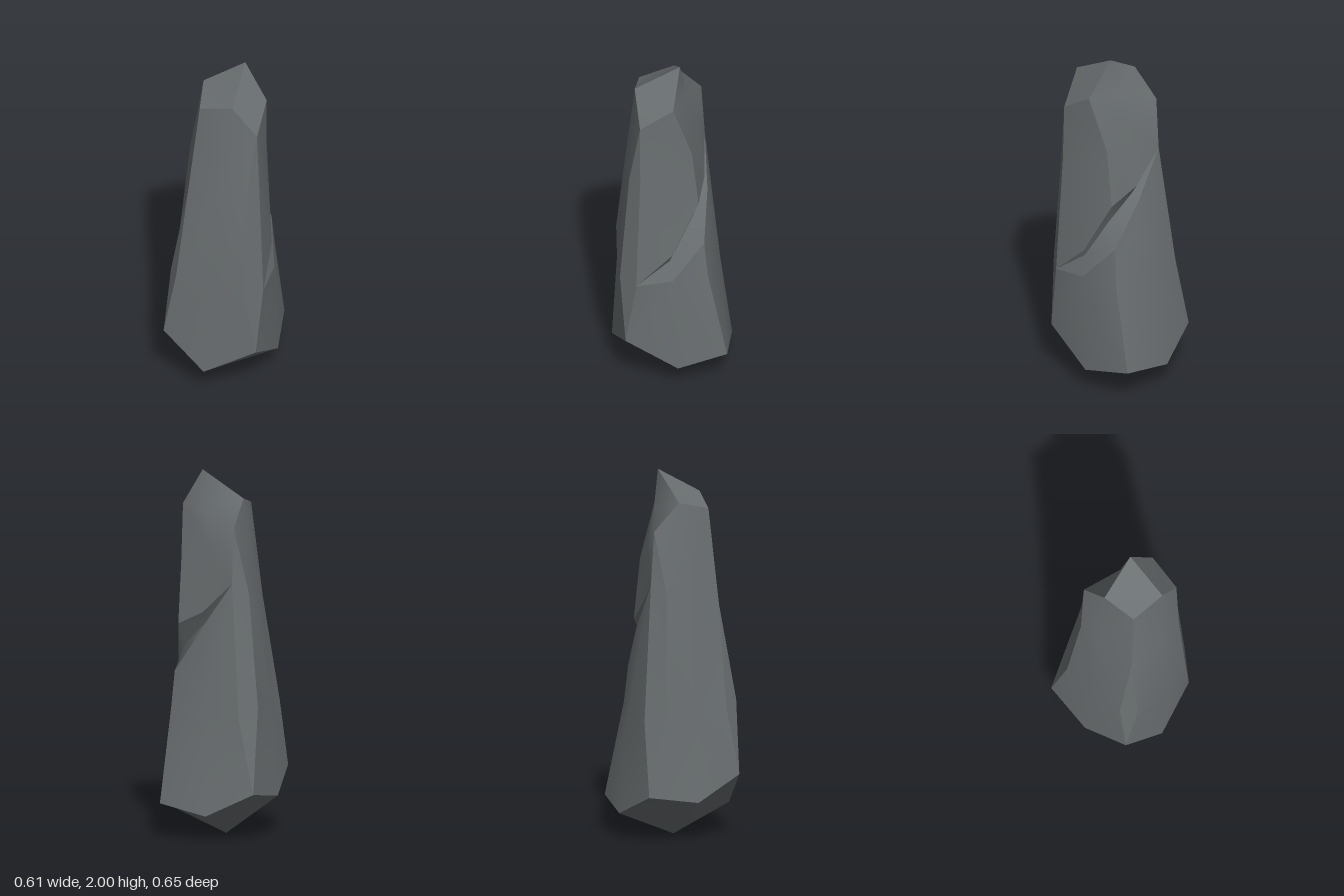
import * as THREE from 'three';

// Corner points of the stone pillar
const P = {
  // crown
  peak: [0.115, 2, -0.03], crownR: [0.245, 1.8, 0.02], crownFR: [0.23, 1.68, 0.2],
  crownF: [0.095, 1.86, 0.215], crownFL: [-0.095, 1.8, 0.17], crownL: [-0.115, 1.85, -0.02],
  crownBL: [-0.11, 1.705, -0.17], shoulder: [0.22, 1.49, -0.085],
  // front right bevel
  fr1: [0.185, 1.32, 0.255], fr2: [0.185, 0.68, 0.305], rf1: [0.242, 1.35, 0.2], rf2: [0.27, 0.67, 0.225],
  // front left bevel
  fl0: [-0.15, 1.28, 0.205], fl1: [-0.2, 0.75, 0.285], lf1: [-0.248, 0.72, 0.2],
  // back left bevel
  lb1: [-0.184, 1.345, -0.13], lb2: [-0.249, 0.73, -0.173], bl1: [-0.106, 1.405, -0.189], bl2: [-0.168, 0.67, -0.26],
  // gentle swell along the middle of each face
  f1: [0.04, 1.34, 0.265], f2: [0.06, 0.73, 0.308], l1: [-0.184, 1.42, 0], l2: [-0.25, 0.74, 0.03],
  s1: [0.247, 1.4, 0.05], b1: [0.08, 1.79, -0.073], b2: [0.06, 1.6, -0.125], b3: [0.03, 0.67, -0.258],
  // ledge: overhanging lip, groove, lower lip
  up1: [0.07, 1.236, -0.17], up2: [0.225, 1.16, -0.12], up3: [0.275, 0.86, 0.03],
  in1: [0.06, 1.18, -0.135], in2: [0.2, 1.04, -0.08], in3: [0.255, 0.815, 0.04],
  low1: [0.07, 1.145, -0.185], low2: [0.235, 0.905, -0.15], low3: [0.29, 0.7, 0.03],
  br1: [0.25, 0.7, -0.168],
  // base
  FR: [0.24, 0.29, 0.28], FL: [-0.275, 0.35, 0.265], BR: [0.28, 0.19, -0.27], BL: [-0.258, 0.265, -0.278],
  F: [-0.04, 0.15, 0.325], R: [0.303, 0.13, 0], B: [0, 0.14, -0.327], L: [-0.304, 0.22, 0], foot: [-0.01, 0, 0],
};

// Fills a face between descending chains of corners, listed left to right as seen from outside
function facet(chains) {
  const names = [...new Set(chains.flat())];
  const index = [];
  const add = (...tri) => {
    if (new Set(tri).size === 3) index.push(...tri.map((n) => names.indexOf(n)));
  };
  for (let c = 0; c < chains.length - 1; c++) {
    const left = chains[c], right = chains[c + 1];
    let i = 0, j = 0;
    while (i < left.length - 1 || j < right.length - 1) {
      const a = left[i + 1], b = right[j + 1];
      if (b === undefined || (a !== undefined && P[a][1] >= P[b][1])) {
        add(left[i], a, right[j]);
        i++;
      } else {
        add(left[i], b, right[j]);
        j++;
      }
    }
  }
  const g = new THREE.BufferGeometry();
  g.setAttribute('position', new THREE.Float32BufferAttribute(names.flatMap((n) => P[n]), 3));
  g.setIndex(index);
  g.computeVertexNormals();
  return g;
}

const FACETS = {
  crownFront: ['crownL crownFL', 'peak crownF'],
  crownRight: ['peak crownF', 'crownR crownFR'],
  frontFace: ['crownFL fl0 fl1 FL F', 'crownF f1 f2 F', 'crownF crownFR fr1 fr2 FR F'],
  frontRightBevel: ['crownFR fr1 fr2 FR', 'crownFR rf1 rf2 FR'],
  frontLeftBevel: ['fl0 lf1 FL', 'fl0 fl1 FL'],
  leftFace: ['crownL crownBL lb1 lb2 BL L', 'crownL l1 l2 L', 'crownFL fl0 lf1 FL L'],
  backLeftBevel: ['crownBL bl1 bl2 BL', 'crownBL lb1 lb2 BL'],
  upperBackFace: ['peak crownR shoulder up2 up1 bl1', 'peak b1 b2 up1 bl1', 'peak crownL crownBL bl1'],
  upperSideFace: ['crownFR rf1 rf2', 'crownR s1 up3 rf2', 'crownR shoulder up2 up3'],
  overhang: ['bl1 up1 up2 up3 rf2', 'bl1 in1 in2 in3 rf2'],
  ledge: ['bl1 in1 in2 in3 rf2', 'bl1 low1 low2 low3 rf2'],
  lowerBackFace: ['bl1 low1 low2 br1 BR B', 'bl1 low1 b3 B', 'bl1 bl2 BL B'],
  lowerSideFace: ['low3 rf2 FR R', 'low3 R', 'low2 br1 BR R'],
  undersideFrontLeft: ['FL L foot', 'FL F foot'],
  undersideFrontRight: ['FR F foot', 'FR R foot'],
  undersideBackRight: ['BR R foot', 'BR B foot'],
  undersideBackLeft: ['BL B foot', 'BL L foot'],
};

export function createModel() {
  const stone = new THREE.MeshStandardMaterial({ color: 0x6a6f71 });
  stone.name = 'stoneGrey';
  const group = new THREE.Group();
  group.name = 'rockPillar';
  for (const [name, chains] of Object.entries(FACETS)) {
    const mesh = new THREE.Mesh(facet(chains.map((c) => c.split(' '))), stone);
    mesh.name = name;
    group.add(mesh);
  }
  return group;
}
